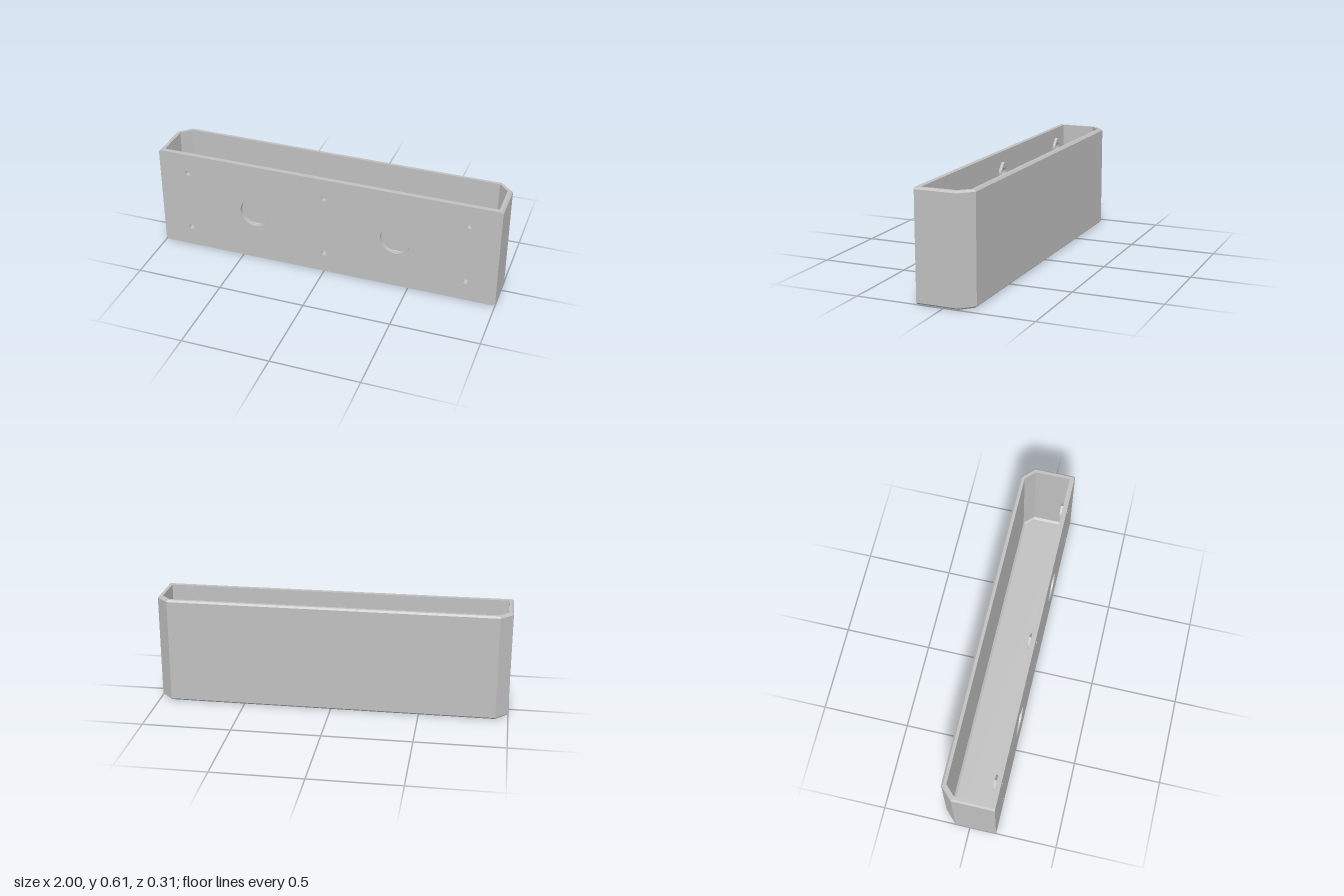
import * as THREE from 'three';

const H = 0.609, FRONT = 0.153, WALL = 0.027, BEVEL = 0.01;
const INNER = FRONT - WALL; // inside face of the front panel

// Plan outline inset by d, running from +x front, round the chamfered back, to -x front
function outline(d, front = INNER) {
  const k = d * 0.414;
  const half = [[1 - d, front], [1 - d, -0.083 + k], [0.93 - k, -FRONT + d]];
  return [...half, ...half.map(([x, z]) => [-x, z]).reverse()];
}

// Flat-faced skin through stacked outlines; closedFrom = first band that also closes at the front
function skin(loops, closedFrom) {
  const pos = [];
  for (let k = 0; k < loops.length - 1; k++) {
    const A = loops[k], B = loops[k + 1];
    const n = A.pts.length;
    for (let i = 0; i < (k >= closedFrom ? n : n - 1); i++) {
      const j = (i + 1) % n;
      const v = (L, m) => [L.pts[m][0], L.y, L.pts[m][1]];
      pos.push(...v(A, i), ...v(A, j), ...v(B, j), ...v(A, i), ...v(B, j), ...v(B, i));
    }
  }
  const g = new THREE.BufferGeometry();
  g.setAttribute('position', new THREE.Float32BufferAttribute(pos, 3));
  g.computeVertexNormals();
  return g;
}

// Round below, pointed at 45 degrees above
function teardrop(Type, x, y, r) {
  const s = new Type();
  s.absarc(x, y, r, Math.PI * 0.75, Math.PI * 2.25, false);
  s.lineTo(x, y + r * Math.SQRT2);
  s.closePath();
  return s;
}

function circleHole(x, y, r) {
  return new THREE.Path().absarc(x, y, r, 0, Math.PI * 2, true);
}

export function createModel() {
  const group = new THREE.Group();
  const grey = new THREE.MeshStandardMaterial({ color: 0xc0c0c0 });
  grey.name = 'grey';
  const add = (name, geo) => {
    const m = new THREE.Mesh(geo, grey);
    m.name = name;
    group.add(m);
    return m;
  };

  // Side and back walls, bevelled at top and bottom, with a chamfer into the floor
  const floorY = WALL, fillet = 0.012;
  const loops = [
    { y: 0, pts: outline(BEVEL) },
    { y: BEVEL, pts: outline(0) },
    { y: H - BEVEL, pts: outline(0) },
    { y: H, pts: outline(BEVEL) },
    { y: H, pts: outline(WALL) },
    { y: floorY + fillet, pts: outline(WALL) },
    { y: floorY, pts: outline(WALL + fillet, INNER - fillet) },
  ];
  add('walls', skin(loops, 5));

  // Floor and underside
  const flat = (pts, s) => new THREE.ShapeGeometry(
    new THREE.Shape(pts.map(([x, z]) => new THREE.Vector2(x, s * z))));
  add('floor', flat(loops[6].pts, -1).rotateX(-Math.PI / 2).translate(0, floorY, 0));
  add('underside', flat(loops[0].pts, 1).rotateX(Math.PI / 2));

  // Front panel with two large teardrop openings and six screw holes
  const panel = new THREE.Shape([
    [-1 + BEVEL, 0], [1 - BEVEL, 0], [1, BEVEL], [1, H - BEVEL],
    [1 - BEVEL, H], [-1 + BEVEL, H], [-1, H - BEVEL], [-1, BEVEL],
  ].map(([x, y]) => new THREE.Vector2(x, y)));
  for (const x of [-0.418, 0.418]) panel.holes.push(teardrop(THREE.Path, x, 0.306, 0.089));

  const screws = [];
  for (const x of [-0.826, 0, 0.826]) for (const y of [0.122, 0.488]) screws.push([x, y]);
  for (const [x, y] of screws) panel.holes.push(circleHole(x, y, 0.016));
  add('frontPanel', new THREE.ExtrudeGeometry(panel, {
    depth: WALL, bevelEnabled: false, curveSegments: 32,
  }).translate(0, 0, INNER));

  // Teardrop bosses inside, each with a countersink
  const depth = 0.016;
  const sinkMaterial = grey.clone();
  sinkMaterial.side = THREE.DoubleSide;
  for (const [x, y] of screws) {
    const boss = teardrop(THREE.Shape, x, y, 0.043);
    boss.holes.push(circleHole(x, y, 0.031));
    add('screwBoss', new THREE.ExtrudeGeometry(boss, {
      depth, bevelEnabled: false, curveSegments: 24,
    }).translate(0, 0, INNER - depth));
    const sink = add('countersink', new THREE.CylinderGeometry(0.031, 0.016, depth, 32, 1, true)
      .rotateX(-Math.PI / 2).translate(x, y, INNER - depth / 2));
    sink.material = sinkMaterial;
  }
  return group;
}
